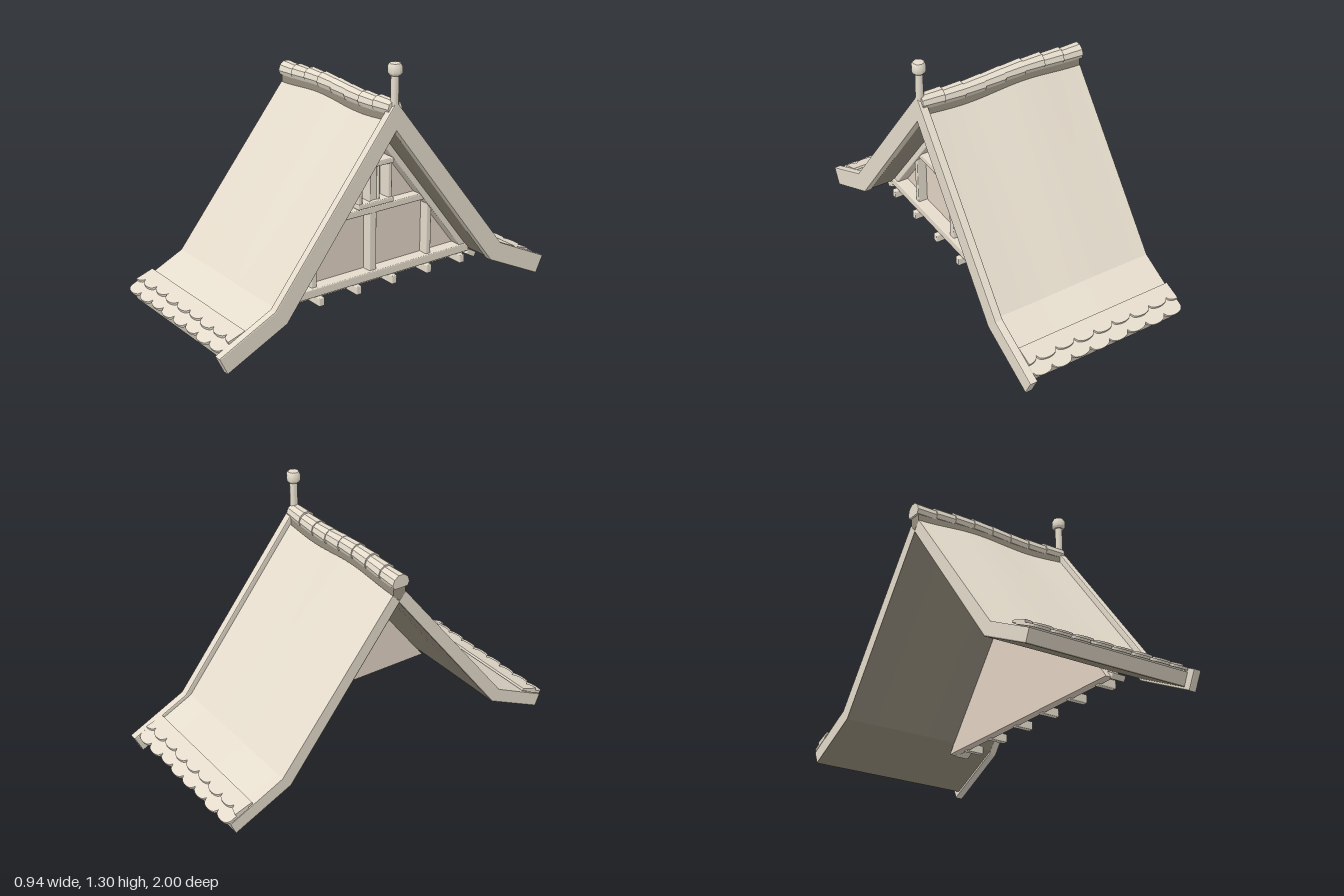
import * as THREE from 'three';
import { toCreasedNormals } from 'three/addons/utils/BufferGeometryUtils.js';
import { RoundedBoxGeometry } from 'three/addons/geometries/RoundedBoxGeometry.js';

function material(name, color) {
  const m = new THREE.MeshStandardMaterial({ color });
  m.name = name;
  return m;
}
const beige = material('warm beige', 0xe5dccc);
const panel = material('pale plaster', 0xe3d4c4);
const shade = material('dark underside', 0x98907f);

const X0 = -0.46, X1 = 0.41; // roof extent along the ridge
const wave = x => 0.01 * Math.cos((x + 0.13) / 0.33 * Math.PI); // sagging ridge line

function add(parent, name, geometry, mat = beige) {
  const mesh = new THREE.Mesh(geometry, mat);
  mesh.name = name;
  parent.add(mesh);
  return mesh;
}

// Outline given as [z, y], extruded from x0 to x1
function prism(points, x0, x1, steps = 1, bevel = 0) {
  const shape = new THREE.Shape(points.map(p => new THREE.Vector2(...p)));
  const g = new THREE.ExtrudeGeometry(shape, {
    depth: x1 - x0 - 2 * bevel, steps, bevelEnabled: bevel > 0,
    bevelSize: bevel, bevelThickness: bevel, bevelOffset: -bevel, bevelSegments: 2,
  });
  return g.rotateY(-Math.PI / 2).translate(x1 - bevel, 0, 0);
}

// Prism along the whole roof that follows the ridge wave, fading out toward the eave
function wavyPrism(points, flip) {
  const g = prism(points, X0, X1, 24);
  const p = g.attributes.position;
  for (let i = 0; i < p.count; i++) {
    const x = p.getX(i), y = p.getY(i);
    const fade = THREE.MathUtils.clamp((y - 0.12) / 0.85, 0, 1);
    p.setY(i, y + wave(flip ? X0 + X1 - x : x) * fade);
  }
  return toCreasedNormals(g, 0.4);
}

// Straight timber between two [z, y] points
function beam(parent, name, [za, ya], [zb, yb], width, x0, x1) {
  const length = Math.hypot(zb - za, yb - ya);
  const m = add(parent, name, new RoundedBoxGeometry(x1 - x0, width, length, 1, 0.005));
  m.position.set((x0 + x1) / 2, (ya + yb) / 2, (za + zb) / 2);
  m.rotation.x = -Math.atan2(yb - ya, zb - za);
}

// Flat shingle with a rounded lower end; its long axis runs down the eave
function shingle(x0, x1, length, left, right) {
  const shape = new THREE.Shape();
  const lobe = 0.028, mid = (left + right) / 2, n = 10;
  const end = x => -length + lobe * (1 - Math.sqrt(Math.max(0, 1 - ((x - mid) / (right - mid)) ** 2)));
  shape.moveTo(x1, 0);
  shape.lineTo(x0, 0);
  for (let i = 0; i <= n; i++) {
    const x = x0 + (x1 - x0) * i / n;
    shape.lineTo(x, end(x));
  }
  return new THREE.ExtrudeGeometry(shape, { depth: 0.013, bevelEnabled: false });
}

function roofSide(flip) {
  const side = new THREE.Group();
  side.name = flip ? 'backRoof' : 'frontRoof';

  // Bent slab with a dark lining beneath
  add(side, 'roofSlab', wavyPrism([[0.038, 1.022], [0.665, 0.23], [0.955, 0.09], [0.93, 0.032],
    [0.622, 0.178], [0, 0.98]], flip));
  add(side, 'roofLining', wavyPrism([[0, 0.98], [0.622, 0.178], [0.93, 0.032], [0.928, 0.027],
    [0.619, 0.173], [0, 0.973]], flip), shade);

  // Two staggered rows of eave shingles
  const eave = new THREE.Group();
  eave.name = 'eaveShingles';
  eave.position.set(0, 0.23, 0.665);
  eave.rotation.x = Math.atan2(0.14, 0.29) - Math.PI / 2;
  side.add(eave);
  const w = (X1 - X0) / 8;
  const rows = [
    { start: 0.21, length: 0.134, lift: 0.003, tilt: -0.02, shift: 0 },
    { start: 0.182, length: 0.098, lift: 0.006, tilt: -0.125, shift: 0.5 },
  ];
  for (const row of rows) {
    for (let i = 0; i < 8 + 2 * row.shift; i++) {
      const left = X0 + (i - row.shift) * w, right = left + w;
      const tile = add(eave, 'shingle', shingle(Math.max(left, X0), Math.min(right, X1),
        row.length + 0.004 * Math.sin(i * 2.3), left, right));
      tile.position.set(0, -row.start, row.lift);
      tile.rotation.x = row.tilt;
    }
  }

  // The back half is turned about the middle of the roof
  if (flip) {
    side.rotation.y = Math.PI;
    side.position.x = X0 + X1;
  }
  return side;
}

function gable() {
  const g = new THREE.Group();
  g.name = 'gable';
  const back = 0.21, front = 0.28;
  add(g, 'gableWall', prism([[0, 0.975], [0.62, 0.175], [0.66, 0.12], [-0.66, 0.12],
    [-0.62, 0.175]], 0.18, 0.225), panel);
  beam(g, 'sillBeam', [-0.615, 0.183], [0.615, 0.183], 0.045, back, front + 0.012);
  beam(g, 'collarBeam', [-0.34, 0.527], [0.34, 0.527], 0.035, back, front);
  beam(g, 'centerPost', [0, 0.2], [0, 0.91], 0.042, back, front - 0.004);
  for (const s of [-1, 1]) {
    beam(g, 'innerRafter', [s * 0.59, 0.187], [0, 0.945], 0.034, back, front + 0.005);
    beam(g, 'studPost', [s * 0.355, 0.2], [s * 0.355, 0.515], 0.03, back, front - 0.004);
    beam(g, 'sillEnd', [s * 0.61, 0.155], [s * 0.665, 0.125], 0.03, back, front + 0.01);
    // Window frame sides
    beam(g, 'windowJamb', [s * 0.09, 0.56], [s * 0.09, 0.775], 0.024, back, front + 0.012);
    beam(g, 'windowMullion', [s * 0.026, 0.56], [s * 0.026, 0.765], 0.012, back, front + 0.004);
    // Floor joist ends
    for (const z of [0.11, 0.335, 0.555]) {
      beam(g, 'joist', [s * z - 0.016, 0.136], [s * z + 0.016, 0.136], 0.045, back, 0.312);
    }
  }
  beam(g, 'windowHead', [-0.107, 0.768], [0.107, 0.768], 0.026, back, front + 0.02);
  beam(g, 'windowSill', [-0.107, 0.565], [0.107, 0.565], 0.026, back, front + 0.02);
  return g;
}

export function createModel() {
  const model = new THREE.Group();
  model.name = 'gabledRoof';
  model.add(roofSide(false), roofSide(true), gable());

  // Dark core closing the gap under the ridge tiles
  add(model, 'ridgeCore', wavyPrism([[-0.034, 1.065], [-0.034, 1.015], [0, 0.985],
    [0.034, 1.015], [0.034, 1.065]], false), shade);

  // Overlapping ridge tiles with flat undersides, each wider at its left end
  const ridge = new THREE.Group();
  ridge.name = 'ridgeTiles';
  const step = 0.1125;
  for (let i = 0; i < 8; i++) {
    const x = -0.468 + (i + 0.5) * step;
    const tile = new THREE.CylinderGeometry(0.048, 0.042, step + 0.006, 10).rotateZ(Math.PI / 2);
    const p = tile.attributes.position;
    for (let k = 0; k < p.count; k++) p.setY(k, Math.max(p.getY(k), -0.022));
    const m = add(ridge, 'ridgeTile', toCreasedNormals(tile, 0.3));
    m.position.set(x, 1.078 + wave(x) * 0.8, 0);
    m.rotation.z = (wave(x + 0.05) - wave(x - 0.05)) * 5;
  }
  model.add(ridge);

  // Bent barge boards framing the gable
  const outer = [[0, 1.12], [0.695, 0.238], [1, 0.09], [0.957, 0], [0.628, 0.158], [0, 0.975]];
  const outline = [...outer, ...outer.slice(1, 5).reverse().map(([z, y]) => [-z, y])];
  add(model, 'bargeBoard', toCreasedNormals(prism(outline, X1 - 0.002, 0.45, 1, 0.006), 0.2));

  // Finial on the gable peak
  const post = new THREE.CylinderGeometry(0.019, 0.021, 0.19, 10).translate(0.43, 1.165, 0);
  add(model, 'finialPost', toCreasedNormals(post, 0.8));
  const profile = [[0, 1.244], [0.027, 1.244], [0.036, 1.256], [0.036, 1.288], [0.028, 1.302], [0, 1.305]];
  const cap = new THREE.LatheGeometry(profile.map(q => new THREE.Vector2(...q)), 8);
  add(model, 'finialCap', toCreasedNormals(cap.translate(0.43, 0, 0), 0.9));
  return model;
}
